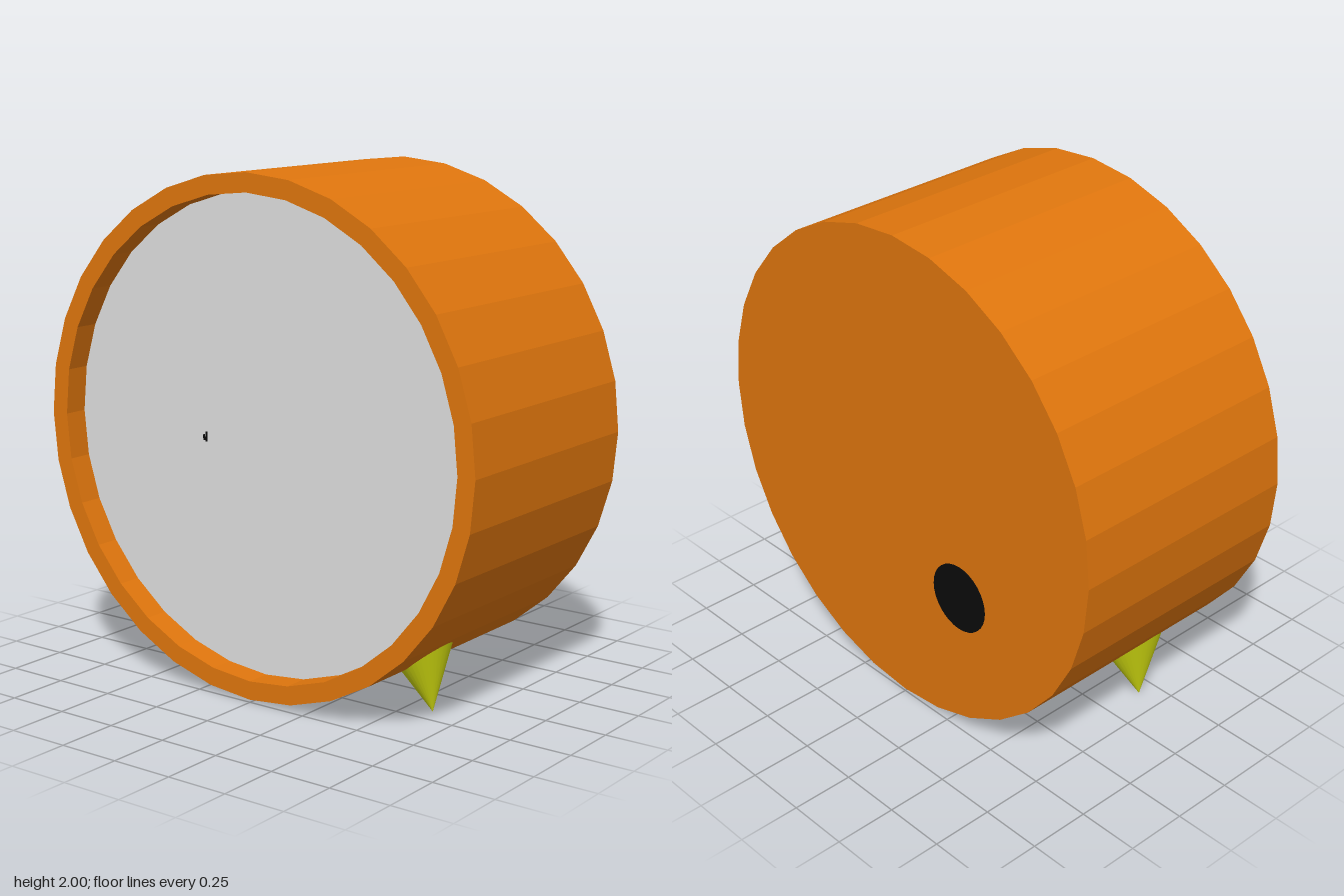
import * as THREE from 'three';

const SIDES = 32, RADIUS = 0.995, INNER = 0.922, CENTRE_Y = 1.005;

function material(name, color, flatShading = false) {
  const m = new THREE.MeshStandardMaterial({ color, flatShading });
  m.name = name;
  return m;
}

export function createModel() {
  const model = new THREE.Group();
  model.name = 'tableClock';
  const orange = material('orange', 0xe0760d, true);
  const grey = material('light grey', 0xe0e0e0);
  const yellow = material('yellow green', 0xd0da10);
  const black = material('black', 0x0a0a0a);

  function add(name, geometry, mat, x, y, z) {
    const mesh = new THREE.Mesh(geometry, mat);
    mesh.name = name;
    mesh.position.set(x, y, z);
    model.add(mesh);
    return mesh;
  }

  // Drum with a closed back and a raised front rim
  const profile = [[0, -0.5], [RADIUS, -0.5], [RADIUS, 0.5], [INNER, 0.5], [INNER, 0.4]]
    .map(([r, h]) => new THREE.Vector2(r, h));
  add('case', new THREE.LatheGeometry(profile, SIDES).rotateX(Math.PI / 2), orange, 0, CENTRE_Y, 0);

  // Recessed dial
  add('dial', new THREE.CircleGeometry(INNER, SIDES), grey, 0, CENTRE_Y, 0.4);

  // Two tiny hands on the dial
  add('longHand', new THREE.BoxGeometry(0.006, 0.038, 0.006), black, -0.282, 0.977, 0.403);
  add('shortHand', new THREE.BoxGeometry(0.005, 0.022, 0.006), black, -0.293, 0.974, 0.403);

  // Round plate on the back
  add('backKnob', new THREE.CylinderGeometry(0.14, 0.14, 0.006, SIDES).rotateX(Math.PI / 2),
    black, -0.33, 0.625, -0.501);

  // Cone feet, tips down, leaning into the case
  const height = 0.3;
  const cone = new THREE.ConeGeometry(0.15, height, SIDES)
    .rotateX(Math.PI).translate(0, height / 2, 0);
  for (const [name, x, lean] of [['leftFoot', 0.612, 0.24], ['rightFoot', -0.649, -0.26]]) {
    add(name, cone, yellow, x, 0, 0.17).rotation.z = lean;
  }

  return model;
}
